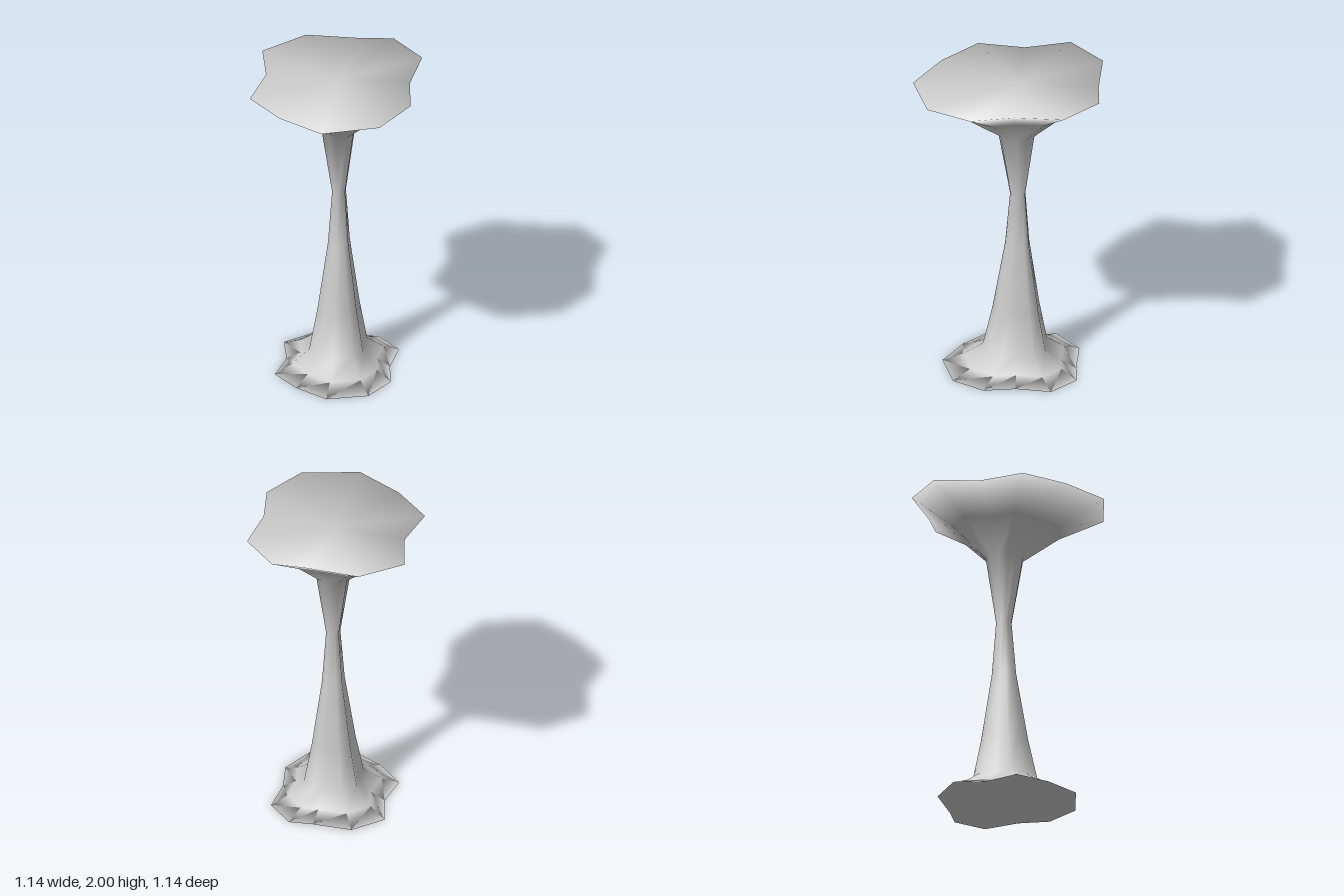
import * as THREE from 'three';

// Wavy twelve-point outline of the rim, as [x, z] about the stem axis
const OUTLINE = [
  [0.57, -0.02], [0.49, 0.26], [0.21, 0.38], [0, 0.547], [-0.31, 0.547], [-0.57, 0.30],
  [-0.57, -0.02], [-0.49, -0.31], [-0.21, -0.40], [0, -0.59], [0.30, -0.485], [0.457, -0.19],
];

// Sections from foot to rim: [height, outline scale, slope along x]
const SECTIONS = [
  [0, 0.72, 0], [0.05, 0.53, 0], [0.135, 0.335, 0], [0.4, 0.245, 0], [0.85, 0.127, 0],
  [1.2, 0.08, 0], [1.63, 0.195, 0], [1.815, 0.555, 0.048], [1.9725, 1, 0.048],
];
const AXIS_Z = 0.02;

// Closed skin through the sections, with shared vertices for soft shading
function loft(sections, outline) {
  const n = outline.length;
  const positions = [];
  const index = [];
  for (const [y, s, slope] of sections) {
    for (const [x, z] of outline) positions.push(x * s, y + slope * x * s, z * s + AXIS_Z);
  }
  const bottom = positions.length / 3;
  const top = bottom + 1;
  const last = (sections.length - 1) * n;
  positions.push(0, sections[0][0], AXIS_Z, 0, sections[sections.length - 1][0], AXIS_Z);

  for (let j = 0; j < n; j++) {
    const k = (j + 1) % n;
    for (let r = 0; r < last; r += n) {
      index.push(r + j, r + n + j, r + k, r + k, r + n + j, r + n + k);
    }
    // Flat foot and slanted top
    index.push(bottom, j, k, top, last + k, last + j);
  }
  const geometry = new THREE.BufferGeometry();
  geometry.setAttribute('position', new THREE.Float32BufferAttribute(positions, 3));
  geometry.setIndex(index);
  geometry.computeVertexNormals();
  return geometry;
}

export function createModel() {
  const group = new THREE.Group();
  group.name = 'flaredPedestal';
  const material = new THREE.MeshStandardMaterial({ color: 0xcccccc });
  // Foot, waisted stem and flared top in one continuous skin
  const body = new THREE.Mesh(loft(SECTIONS, OUTLINE), material);
  body.name = 'pedestalBody';
  group.add(body);
  return group;
}
